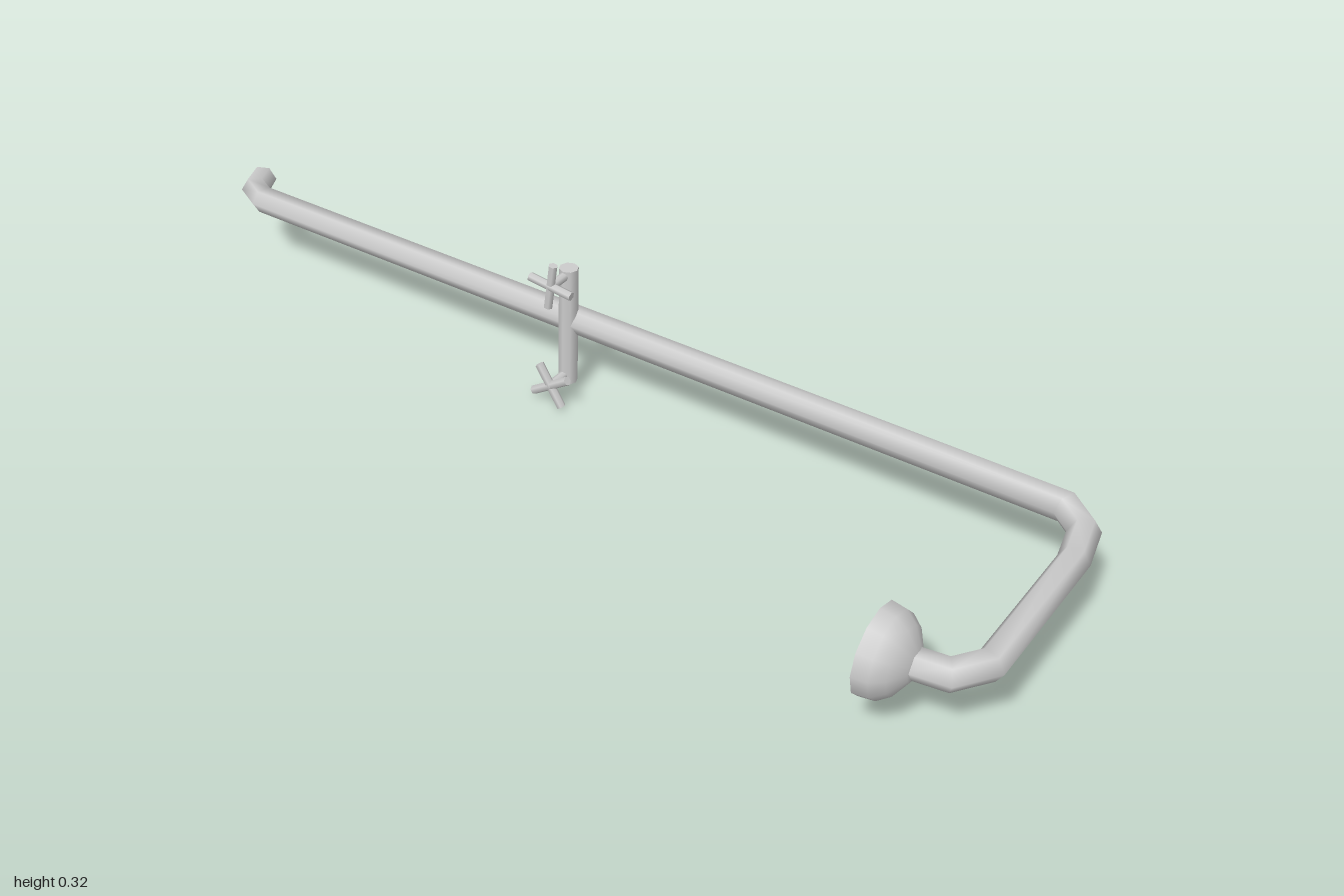
import * as THREE from 'three';

const material = new THREE.MeshStandardMaterial({ color: 0xcccccc });
const openMaterial = new THREE.MeshStandardMaterial({ color: 0xcccccc, side: THREE.DoubleSide });
const PIPE_Y = 0.162;

function addMesh(parent, name, geometry, mat = material) {
  const mesh = new THREE.Mesh(geometry, mat);
  mesh.name = name;
  parent.add(mesh);
  return mesh;
}

// Sweep a polygon along a flat path of [x, z] points, mitring every corner
function sweepPipe(path, radius, sides) {
  const pts = path.map(([x, z]) => new THREE.Vector3(x, 0, z));
  const positions = [];
  const index = [];
  pts.forEach((p, i) => {
    const before = pts[i].clone().sub(pts[Math.max(i - 1, 0)]).normalize();
    const after = pts[Math.min(i + 1, pts.length - 1)].clone().sub(p).normalize();
    const t = before.clone().add(after).normalize();
    const miter = 1 / t.dot(i ? before : after);
    for (let j = 0; j < sides; j++) {
      const a = (j / sides) * Math.PI * 2;
      const s = Math.cos(a) * radius * miter;
      positions.push(p.x + t.z * s, PIPE_Y + Math.sin(a) * radius, p.z - t.x * s);
      if (i < pts.length - 1) {
        const k = (j + 1) % sides;
        const a0 = i * sides + j, b0 = i * sides + k;
        index.push(a0, b0, a0 + sides, b0, b0 + sides, a0 + sides);
      }
    }
  });
  const geometry = new THREE.BufferGeometry();
  geometry.setAttribute('position', new THREE.Float32BufferAttribute(positions, 3));
  geometry.setIndex(index);
  geometry.computeVertexNormals();
  return geometry;
}

// Cross-shaped tap on a short stem
function createTap(name, y, turn) {
  const tap = new THREE.Group();
  tap.name = name;
  tap.position.set(0.181, y, -0.113);
  const stem = addMesh(tap, 'tapStem', new THREE.CylinderGeometry(0.009, 0.009, 0.06, 8));
  stem.rotation.z = Math.PI / 2;
  stem.position.x = 0.03;
  for (const quarter of [0, Math.PI / 2]) {
    const bar = addMesh(tap, 'tapHandleBar', new THREE.CylinderGeometry(0.009, 0.009, 0.095, 6));
    bar.rotation.x = turn + quarter;
  }
  return tap;
}

export function createModel() {
  const model = new THREE.Group();
  model.name = 'showerPipe';

  // Long hollow pipe, bent at both ends
  const path = [
    [0.327, -0.972], [0.28, -0.953], [0.255, -0.907], [0.255, 0.903], [0.21, 0.955],
    [0.13, 0.972], [-0.18, 0.972], [-0.236, 0.932], [-0.247, 0.86],
  ];
  addMesh(model, 'pipe', sweepPipe(path, 0.0278, 6), openMaterial);

  // Domed shower head with a flat spray face
  const head = new THREE.Group();
  head.name = 'showerHead';
  head.position.set(-0.248, 0.161, 0.81);
  const profile = [[0.081, 0], [0.077, 0.028], [0.06, 0.05], [0.028, 0.07], [0, 0.07]]
    .map(([r, h]) => new THREE.Vector2(r, h));
  addMesh(head, 'headDome', new THREE.LatheGeometry(profile, 12).rotateX(Math.PI / 2));
  addMesh(head, 'sprayFace', new THREE.CircleGeometry(0.081, 12).rotateY(Math.PI));
  model.add(head);

  // Upright valve body crossing the pipe
  const valve = addMesh(model, 'valveBody', new THREE.CylinderGeometry(0.019, 0.019, 0.254, 8));
  valve.position.set(0.24, 0.155, -0.113);

  // Upper and lower taps, turned to different angles
  model.add(createTap('upperTap', 0.27, 0.12));
  model.add(createTap('lowerTap', 0.046, -0.58));

  return model;
}
